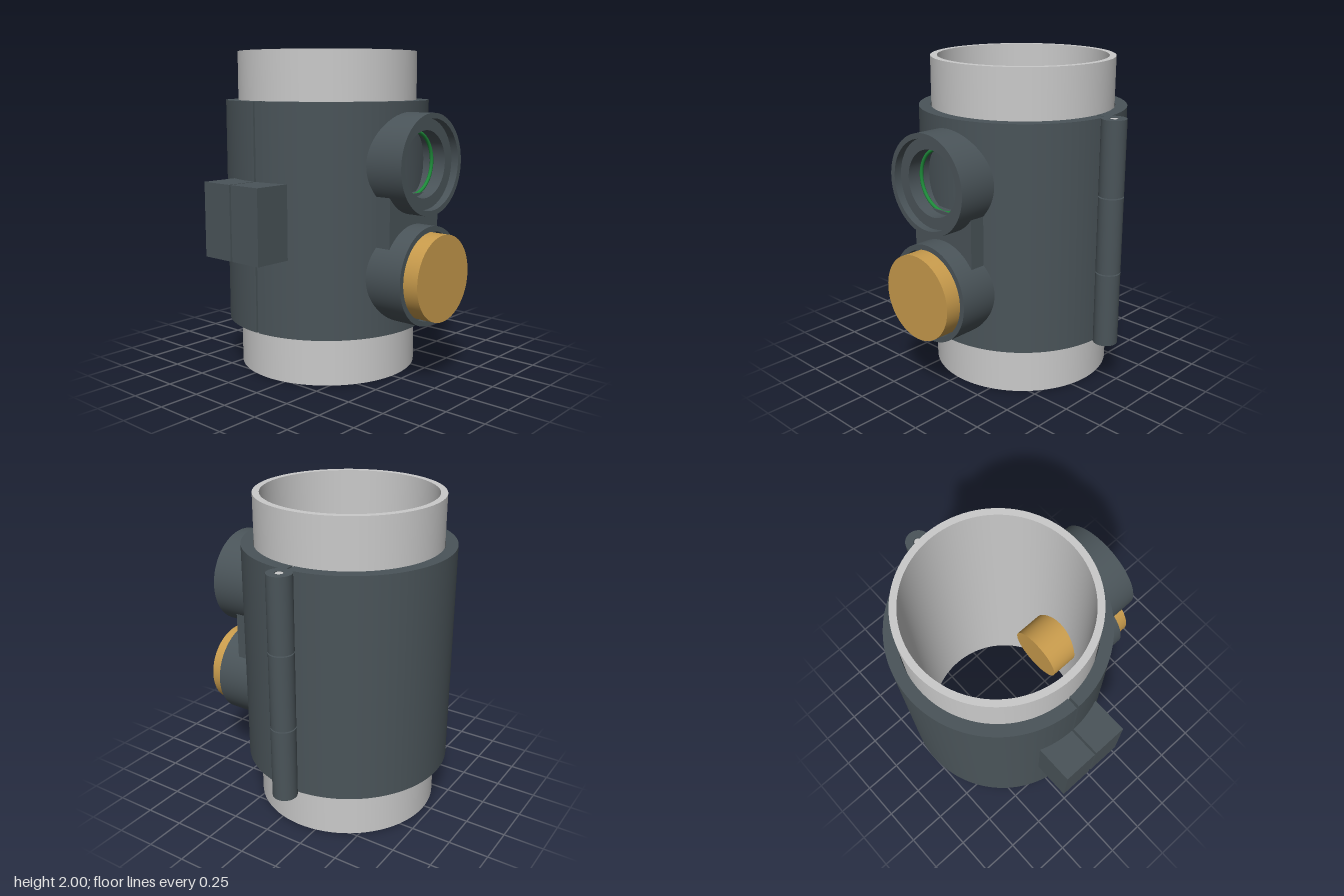
import * as THREE from 'three';
import { toCreasedNormals } from 'three/addons/utils/BufferGeometryUtils.js';

const material = (name, color) => new THREE.MeshStandardMaterial({ name, color });

// Common axis of the pipe and clamp
const CX = -0.135, CZ = -0.033;
const BOTTOM = 0.305, TOP = 1.7;

export function createModel() {
  const model = new THREE.Group();
  model.name = 'pipeClamp';
  const casing = material('slateGrey', 0x4a5459);
  const pipeGrey = material('lightGrey', 0xcacaca);
  const brass = material('ochre', 0xc89b4c);
  const green = material('sealGreen', 0x1e8a3a);

  const add = (name, geometry, mat, x = 0, y = 0, z = 0) => {
    const mesh = new THREE.Mesh(geometry, mat);
    mesh.name = name;
    mesh.position.set(x, y, z);
    model.add(mesh);
    return mesh;
  };

  // Closed solid of revolution from [radius, height] pairs
  const turned = (points, segments = 72) => toCreasedNormals(
    new THREE.LatheGeometry(points.map(([r, h]) => new THREE.Vector2(r, h)), segments), 0.6);

  // Tube wall profile, wound so the faces point outwards
  const ring = (inner, outer, y0, y1) =>
    [[inner, y0], [outer, y0], [outer, y1], [inner, y1], [inner, y0]];

  // Same, with the axis of revolution laid along +x
  const turnedX = (points) => turned(points).rotateZ(-Math.PI / 2);

  // Pipe
  add('pipe', turned(ring(0.525, 0.566, 0, 2), 96), pipeGrey, CX, 0, CZ);

  // Two half shells with a narrow gap between them
  const gap = 0.007, outer = 0.643, inner = 0.57;
  const ao = Math.acos(gap / outer), ai = Math.acos(gap / inner);
  for (const side of [1, -1]) {
    const shape = new THREE.Shape();
    const turn = side > 0 ? 0 : Math.PI;
    shape.absarc(0, 0, outer, turn - ao, turn + ao, false);
    shape.absarc(0, 0, inner, turn + ai, turn - ai, true);
    shape.closePath();
    const shell = new THREE.ExtrudeGeometry(shape, { depth: TOP - BOTTOM, bevelEnabled: false, curveSegments: 56 });
    shell.rotateX(-Math.PI / 2);
    add(side > 0 ? 'leftShell' : 'rightShell', toCreasedNormals(shell, 0.5), casing, CX, BOTTOM, CZ);

    // Latch block at the front of each shell
    add(side > 0 ? 'leftLatch' : 'rightLatch', new THREE.BoxGeometry(0.218, 0.45, 0.255),
      casing, CX + side * (gap + 0.109), 1.005, 0.678);
  }

  // Hinge knuckles and pin at the back
  for (const [y0, y1] of [[BOTTOM, 0.763], [0.771, 1.237], [1.245, TOP]]) {
    add('hingeKnuckle', turned(ring(0.027, 0.075, y0, y1), 40), casing, CX, 0, -0.733);
  }
  add('hingePin', new THREE.CylinderGeometry(0.023, 0.023, TOP - BOTTOM - 0.004, 24),
    pipeGrey, CX, (TOP + BOTTOM) / 2, -0.733);

  // Two side ports with stepped bores
  const port = [[0.2, 0.42], [0.302, 0.42], [0.302, 0.683], [0.27, 0.683],
    [0.27, 0.635], [0.2, 0.635], [0.2, 0.42]];
  const upperY = 1.335, lowerY = 0.67;
  add('upperPort', turnedX(port), casing, 0, upperY, CZ);
  add('lowerPort', turnedX(port), casing, 0, lowerY, CZ);

  // Web joining the ports
  add('portBridge', new THREE.BoxGeometry(0.12, 0.305, 0.482), casing, 0.5, 1.003, CZ);

  // Seal ring inside the open port
  add('sealRing', new THREE.TorusGeometry(0.19, 0.011, 12, 72).rotateY(Math.PI / 2),
    green, 0.545, upperY, CZ);

  // Plug in the lower port, reaching into the pipe
  add('plug', turnedX([[0, 0.17], [0.188, 0.17], [0.188, 0.638], [0.262, 0.638],
    [0.262, 0.775], [0, 0.775]]), brass, 0, lowerY, CZ);

  return model;
}
